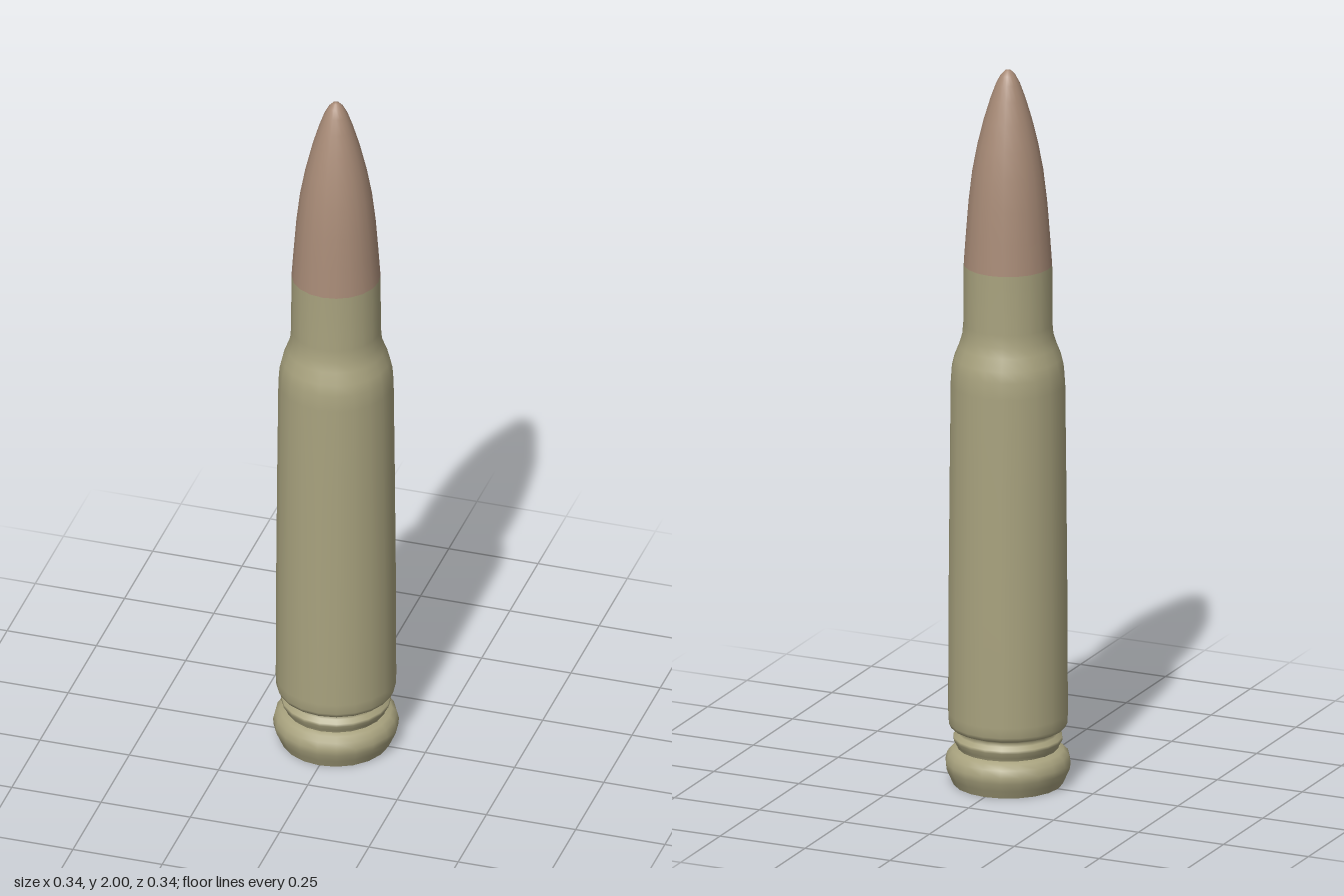
import * as THREE from 'three';

const SIDES = 20;

// Turned part from [radius, height] pairs, listed bottom to top
function turned(name, profile, material) {
  const points = profile.map(([r, y]) => new THREE.Vector2(r, y));
  const mesh = new THREE.Mesh(new THREE.LatheGeometry(points, SIDES), material);
  mesh.name = name;
  return mesh;
}

export function createModel() {
  const brass = new THREE.MeshStandardMaterial({ color: 0xa8a27e, side: THREE.DoubleSide });
  brass.name = 'dull brass';
  const copper = new THREE.MeshStandardMaterial({ color: 0xa88b77, side: THREE.DoubleSide });
  copper.name = 'dull copper';

  const group = new THREE.Group();
  group.name = 'cartridge';

  // Open, flared base rim
  group.add(turned('baseRim', [
    [0.147, 0], [0.157, 0.022], [0.167, 0.045], [0.168, 0.062], [0.163, 0.082], [0.15, 0.095], [0.135, 0.1],
  ], brass));

  // Double groove with a small raised ring
  group.add(turned('extractorGroove', [
    [0.135, 0.1], [0.138, 0.108], [0.147, 0.124], [0.146, 0.132], [0.134, 0.14], [0.13, 0.149], [0.138, 0.155],
  ], brass));

  // Long, slightly tapered body, shoulder and neck
  group.add(turned('casing', [
    [0.138, 0.155], [0.154, 0.16], [0.16, 0.172], [0.161, 0.2], [0.16, 0.5], [0.157, 0.85], [0.154, 1.12],
    [0.151, 1.165], [0.144, 1.195], [0.131, 1.228], [0.123, 1.255], [0.12, 1.29], [0.119, 1.455],
  ], brass));

  // Pointed, rounded tip
  group.add(turned('tip', [
    [0.119, 1.455], [0.113, 1.54], [0.106, 1.63], [0.096, 1.715], [0.082, 1.79], [0.065, 1.86],
    [0.047, 1.92], [0.032, 1.962], [0.02, 1.985], [0.009, 1.997], [0, 2],
  ], copper));

  return group;
}
